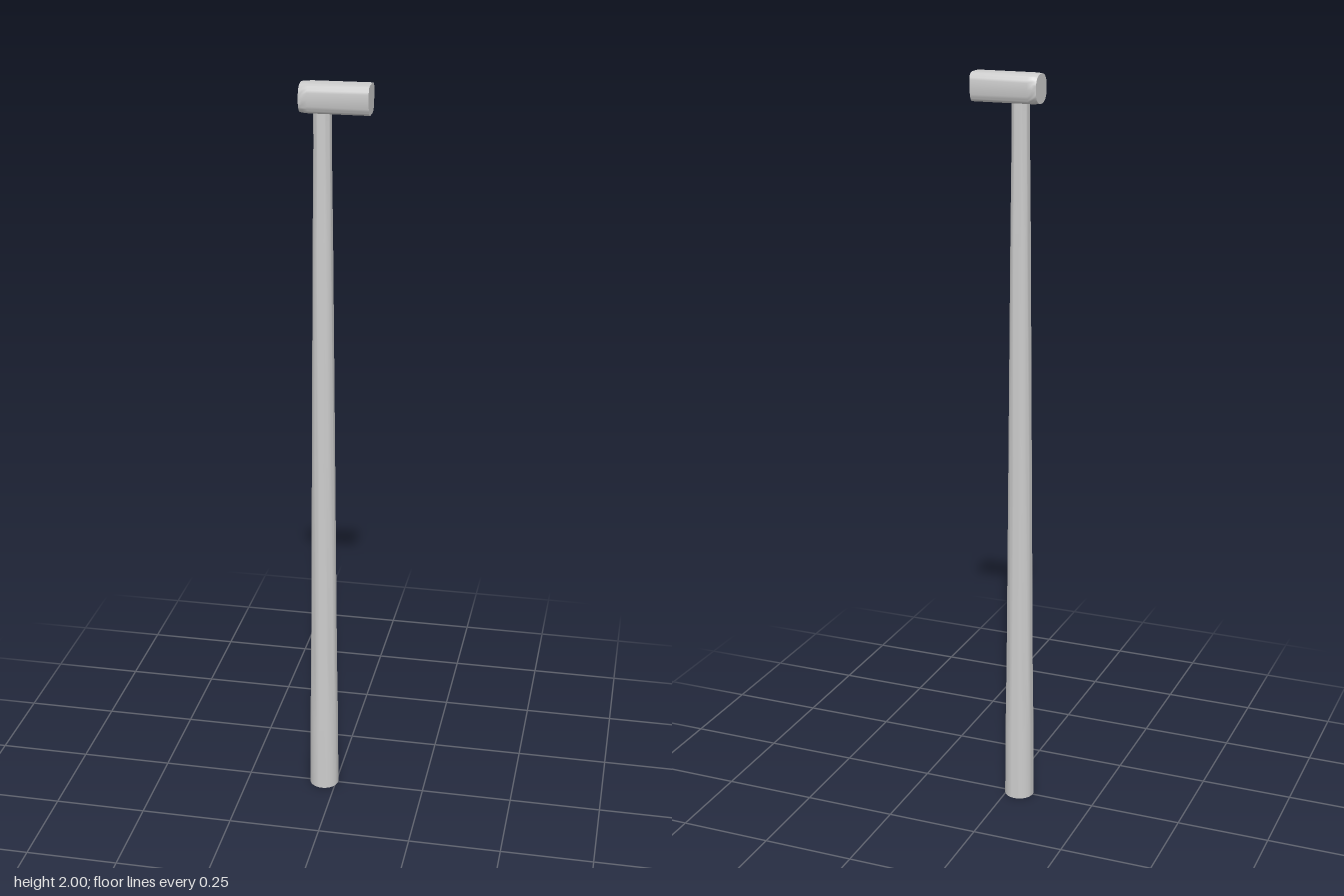
import * as THREE from 'three';
import { toCreasedNormals } from 'three/addons/utils/BufferGeometryUtils.js';

const SIDES = 32;

// Cross-section ring in the y/z plane: a superellipse, optionally pinched at the bottom.
function ring(x, halfY, halfZ, power, pinch) {
  const points = [];
  for (let i = 0; i < SIDES; i++) {
    const a = (i / SIDES) * Math.PI * 2;
    const c = Math.cos(a), s = Math.sin(a);
    const y = Math.sign(c) * Math.abs(c) ** (2 / power);
    const z = Math.sign(s) * Math.abs(s) ** (2 / power);
    const narrow = 1 - pinch * Math.max(0, -y);
    points.push([x, y * halfY, z * halfZ * narrow]);
  }
  return points;
}

// Skins rings ordered along +x and closes both ends.
function loft(rings) {
  const positions = [], index = [];
  rings.forEach(r => r.forEach(p => positions.push(...p)));
  for (let r = 0; r < rings.length - 1; r++) {
    for (let i = 0; i < SIDES; i++) {
      const j = (i + 1) % SIDES;
      const a = r * SIDES + i, b = r * SIDES + j;
      index.push(a, b, a + SIDES, b, b + SIDES, a + SIDES);
    }
  }
  const last = (rings.length - 1) * SIDES;
  const start = positions.length / 3;
  positions.push(rings[0][0][0], 0, 0, rings[rings.length - 1][0][0], 0, 0);
  for (let i = 0; i < SIDES; i++) {
    const j = (i + 1) % SIDES;
    index.push(start, j, i, start + 1, last + i, last + j);
  }
  const geometry = new THREE.BufferGeometry();
  geometry.setAttribute('position', new THREE.Float32BufferAttribute(positions, 3));
  geometry.setIndex(index);
  return toCreasedNormals(geometry, 0.7);
}

export function createModel() {
  const group = new THREE.Group();
  const material = new THREE.MeshStandardMaterial({ color: 0xcccccc });

  // Tapered round pole with a thicker foot
  const profile = [[0, 0], [0.04, 0], [0.039, 0.2], [0.036, 0.4], [0.031, 1], [0.026, 1.6], [0.023, 1.85], [0.023, 1.94], [0, 1.94]]
    .map(([r, y]) => new THREE.Vector2(r, y));
  const pole = new THREE.Mesh(toCreasedNormals(new THREE.LatheGeometry(profile, 32), 0.7), material);
  pole.name = 'pole';
  pole.position.x = -0.034;
  group.add(pole);

  // Head: round at one end, blending into a soft-edged box
  const head = new THREE.Mesh(loft([
    ring(-0.088, 0.037, 0.038, 2.4, 0),
    ring(-0.078, 0.0375, 0.0395, 3, 0.05),
    ring(-0.065, 0.0375, 0.04, 4, 0.1),
    ring(0.088, 0.0375, 0.04, 4.5, 0.15),
  ]), material);
  head.name = 'head';
  head.position.y = 1.9625;
  group.add(head);

  return group;
}
